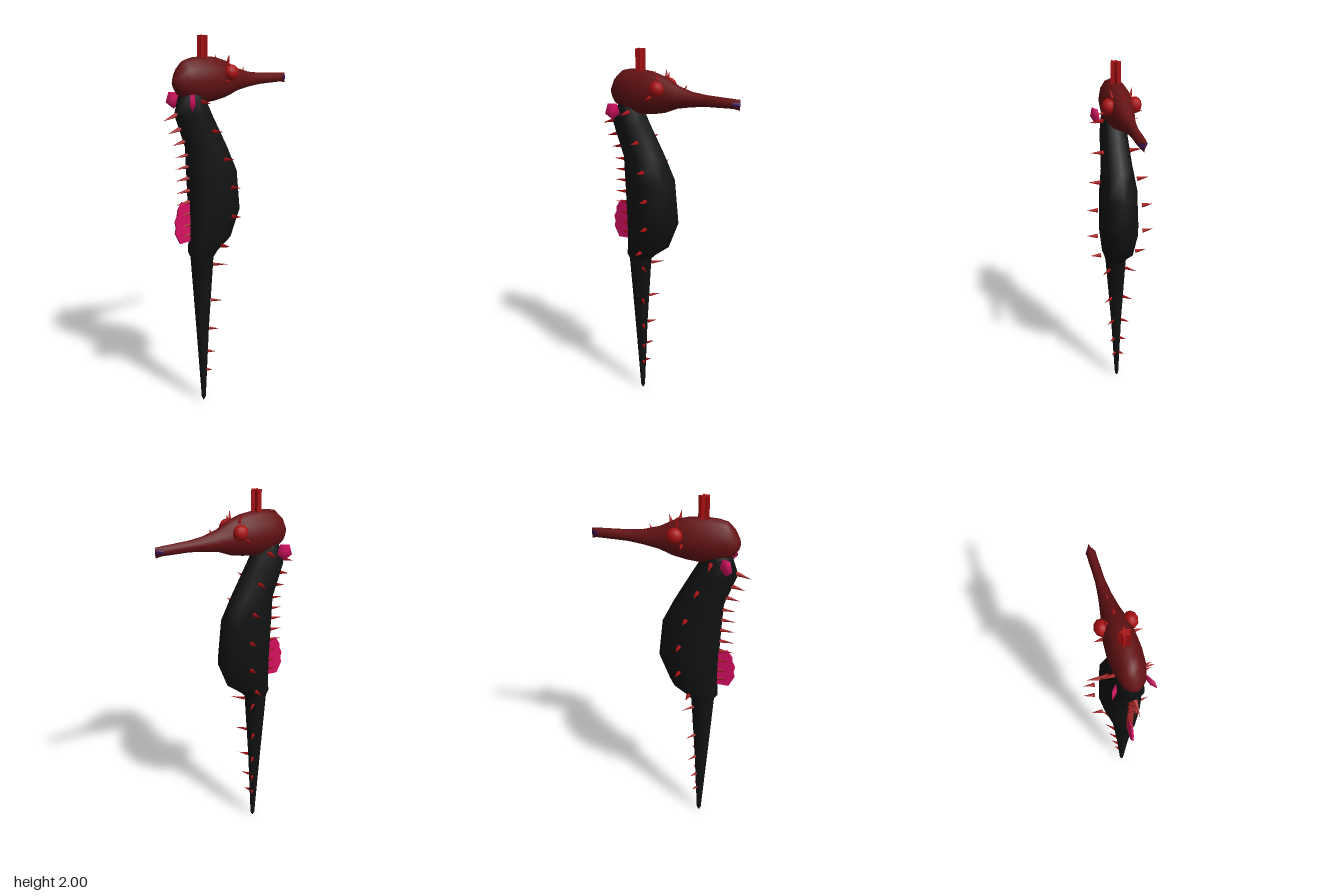
import * as THREE from 'three';
import { mergeVertices } from 'three/addons/utils/BufferGeometryUtils.js';

const material = (name, color, extra = {}) => {
  const m = new THREE.MeshStandardMaterial({ color, ...extra });
  m.name = name;
  return m;
};

// Elliptical loft along y; each section is [y, halfWidth, zMin, zMax], listed from low to high
function loft(sections, sides) {
  const n = sections.length - 1;
  const g = new THREE.CylinderGeometry(1, 1, n, sides, n);
  const p = g.attributes.position;
  for (let i = 0; i < p.count; i++) {
    const [y, w, a, b] = sections[Math.round(p.getY(i) + n / 2)];
    p.setXYZ(i, p.getX(i) * w, y, (a + b) / 2 + p.getZ(i) * (b - a) / 2);
  }
  g.deleteAttribute('uv');
  g.deleteAttribute('normal');
  const merged = mergeVertices(g);
  merged.computeVertexNormals();
  return merged;
}

// Same loft along z; each section is [z, halfWidth, yMin, yMax]
const loftZ = (sections, sides) =>
  loft(sections.map(([z, w, a, b]) => [z, w, -b, -a]), sides).rotateX(Math.PI / 2);

export function createModel() {
  const group = new THREE.Group();
  const black = material('black skin', 0x111212);
  const darkRed = material('dark red head', 0x641214);
  const red = material('red spikes', 0xa81012);
  const pink = material('pink fins', 0xd61062, { side: THREE.DoubleSide });
  const purple = material('purple mouth', 0x3a1058);

  const add = (name, geometry, mat) => {
    const m = new THREE.Mesh(geometry, mat);
    m.name = name;
    group.add(m);
    return m;
  };

  // Cone from base to tip
  const up = new THREE.Vector3(0, 1, 0);
  const spike = (name, base, tip, r) => {
    const a = new THREE.Vector3(...base), b = new THREE.Vector3(...tip);
    const d = b.clone().sub(a);
    const m = add(name, new THREE.ConeGeometry(r, d.length(), 6), red);
    m.position.copy(a).add(b).multiplyScalar(0.5);
    m.quaternion.setFromUnitVectors(up, d.normalize());
  };

  // Trunk and tapering tail
  add('body', loft([
    [0, 0.003, 0.167, 0.173],
    [0.02, 0.011, 0.157, 0.182],
    [0.45, 0.032, 0.135, 0.21],
    [0.86, 0.06, 0.108, 0.235],
    [0.89, 0.066, 0.08, 0.255],
    [0.96, 0.09, -0.01, 0.25],
    [1.11, 0.11, -0.07, 0.25],
    [1.32, 0.105, -0.05, 0.258],
    [1.45, 0.085, 0.012, 0.265],
    [1.62, 0.073, 0.105, 0.327],
    [1.70, 0.062, 0.15, 0.3],
    [1.75, 0.04, 0.18, 0.27],
  ], 8), black);

  // Head and long snout, pointing to -z
  add('head', loftZ([
    [-0.40, 0.002, 1.745, 1.797],
    [-0.365, 0.022, 1.75, 1.798],
    [-0.22, 0.023, 1.745, 1.803],
    [-0.14, 0.032, 1.735, 1.812],
    [-0.06, 0.046, 1.72, 1.835],
    [0.01, 0.062, 1.692, 1.873],
    [0.08, 0.075, 1.678, 1.893],
    [0.15, 0.079, 1.67, 1.9],
    [0.22, 0.074, 1.678, 1.896],
    [0.265, 0.063, 1.695, 1.885],
    [0.30, 0.05, 1.715, 1.85],
    [0.325, 0.022, 1.75, 1.805],
    [0.33, 0.004, 1.765, 1.79],
  ], 12), darkRed);
  add('mouth', loftZ([
    [-0.40, 0.004, 1.755, 1.787],
    [-0.37, 0.0235, 1.76, 1.787],
    [-0.36, 0.0225, 1.765, 1.782],
  ], 12), purple);

  // Five-pointed crown
  const star = new THREE.Shape();
  for (let i = 0; i < 10; i++) {
    const a = Math.PI / 2 + i * Math.PI / 5, r = i % 2 ? 0.013 : 0.028;
    star[i ? 'lineTo' : 'moveTo'](r * Math.cos(a), r * Math.sin(a));
  }
  const crown = add('crown', new THREE.ExtrudeGeometry(star, { depth: 0.13, bevelEnabled: false }), red);
  crown.rotation.x = -Math.PI / 2;
  crown.position.set(0, 1.87, 0.152);

  // Fin along the back, with a scalloped edge
  const fin = new THREE.Shape([
    [0.235, 0.965], [0.31, 0.96], [0.325, 0.99], [0.34, 1.02], [0.333, 1.05], [0.34, 1.08],
    [0.325, 1.11], [0.322, 1.14], [0.295, 1.18], [0.28, 1.175], [0.235, 1.16],
  ].map(([z, y]) => new THREE.Vector2(-z, y)));
  const finGeometry = new THREE.ExtrudeGeometry(fin, { depth: 0.01, bevelEnabled: false });
  add('backFin', finGeometry.translate(0, 0, -0.005).rotateY(Math.PI / 2), pink);

  // Spikes down the back and over the snout
  spike('backSpike', [0, 1.625, 0.315], [0, 1.6, 0.395], 0.013);
  spike('backSpike', [0, 1.555, 0.295], [0, 1.535, 0.37], 0.013);
  spike('backSpike', [0, 1.49, 0.272], [0, 1.475, 0.345], 0.012);
  for (const y of [1.42, 1.36, 1.3, 1.235, 1.175, 1.115, 1.055, 1.0])
    spike('backSpike', [0, y, 0.25], [0, y - 0.007, 0.33], 0.011);
  spike('browSpike', [0, 1.865, -0.005], [0, 1.9, -0.015], 0.008);
  spike('snoutSpike', [0, 1.81, -0.1], [0, 1.843, -0.11], 0.008);

  // Side spikes: [base y, base x, base z, tip x, tip y, tip z]
  const sideSpikes = [
    [1.685, 0.055, 0.2, 0.13, 1.68, 0.2],
    [1.535, 0.07, 0.14, 0.14, 1.54, 0.135],
    [1.39, 0.1, 0.09, 0.165, 1.4, 0.085],
    [1.245, 0.122, 0.062, 0.182, 1.252, 0.057],
    [1.09, 0.126, 0.062, 0.186, 1.1, 0.054],
    [0.935, 0.1, 0.112, 0.16, 0.942, 0.106],
    [0.82, 0.045, 0.13, 0.1, 0.823, 0.072],
    [0.615, 0.036, 0.14, 0.084, 0.617, 0.095],
    [0.445, 0.026, 0.145, 0.068, 0.447, 0.108],
    [0.305, 0.018, 0.15, 0.052, 0.307, 0.122],
    [0.19, 0.012, 0.155, 0.038, 0.191, 0.132],
  ];

  for (const s of [1, -1]) {
    sideSpikes.forEach(([y, x, z, tx, ty, tz], i) =>
      spike('sideSpike', [s * x, y, z], [s * tx, ty, tz], i < 6 ? 0.012 : 0.009));
    spike('eyeSpike', [s * 0.045, 1.86, 0.03], [s * 0.055, 1.905, 0.035], 0.009);
    spike('cheekSpike', [s * 0.07, 1.775, 0.06], [s * 0.115, 1.772, 0.06], 0.009);

    // Eyes
    const eye = add('eye', new THREE.SphereGeometry(0.04, 10, 8), red);
    eye.scale.x = 0.85;
    eye.position.set(s * 0.066, 1.818, 0.025);

    // Five-sided fins behind the head
    const neckFin = add('neckFin', new THREE.SphereGeometry(1, 5, 2), pink);
    neckFin.geometry.rotateZ(Math.PI / 2).scale(0.012, 0.046, 0.04).rotateY(s * 0.53);
    neckFin.position.set(s * 0.083, 1.69, 0.277);
  }
  return group;
}
